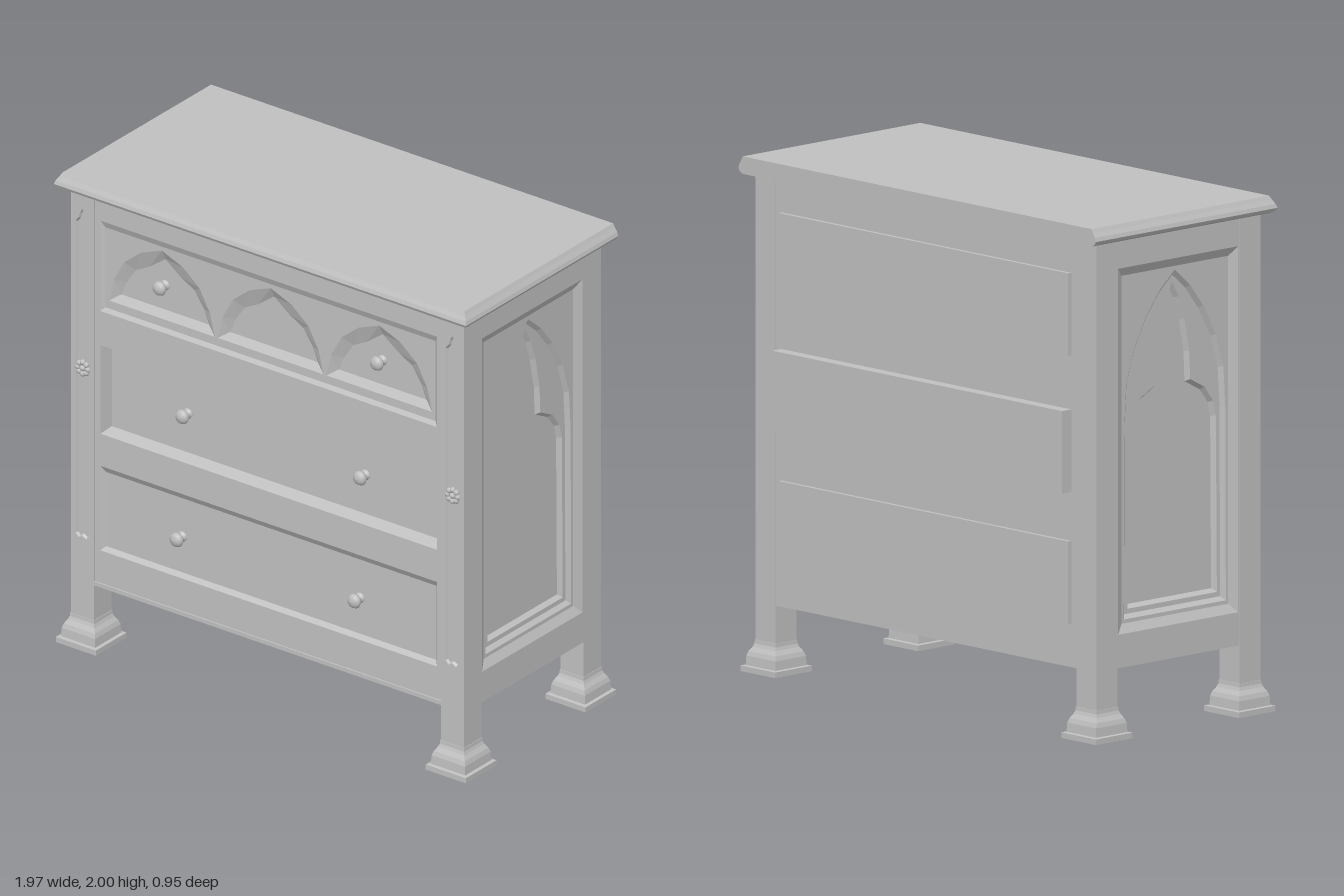
import * as THREE from 'three';
import { mergeGeometries } from 'three/addons/utils/BufferGeometryUtils.js';

const wood = new THREE.MeshStandardMaterial({ color: 0xc0c0c0 });
wood.name = 'paleGrey';

const mesh = (name, geometry) => {
  const m = new THREE.Mesh(geometry, wood);
  m.name = name;
  return m;
};

const box = (x0, x1, y0, y1, z0, z1) =>
  new THREE.BoxGeometry(x1 - x0, y1 - y0, z1 - z0).translate((x0 + x1) / 2, (y0 + y1) / 2, (z0 + z1) / 2);

// Outlines run anticlockwise as lists of [x, y].
const rect = (x0, x1, y0, y1) => [[x0, y0], [x1, y0], [x1, y1], [x0, y1]];

// Right half from base to apex, mirrored to the left.
const mirrored = (half, cx = 0) => [
  ...half.map(([x, y]) => [cx + x, y]),
  ...half.slice(0, -1).reverse().map(([x, y]) => [cx - x, y]),
];

// Moves every edge of an outline inwards by d.
function inset(pts, d) {
  const n = pts.length;
  const edgeNormal = (a, b) => new THREE.Vector2(a[1] - b[1], b[0] - a[0]).normalize();
  return pts.map((p, i) => {
    const n1 = edgeNormal(pts[(i + n - 1) % n], p);
    const n2 = edgeNormal(p, pts[(i + 1) % n]);
    const k = d / (1 + n1.dot(n2));
    return [p[0] + (n1.x + n2.x) * k, p[1] + (n1.y + n2.y) * k];
  });
}

function toShape(outer, holes = []) {
  const v = (o) => o.map(([x, y]) => new THREE.Vector2(x, y));
  const s = new THREE.Shape(v(outer));
  s.holes = holes.map((h) => new THREE.Path(v(h)));
  return s;
}

const face = (outer, holes, z) => new THREE.ShapeGeometry(toShape(outer, holes)).translate(0, 0, z);
const board = (outer, holes, z0, z1) =>
  new THREE.ExtrudeGeometry(toShape(outer, holes), { depth: z1 - z0, bevelEnabled: false }).translate(0, 0, z0);

// Flat-shaded strips joining successive rings of 3D points.
function loft(rings, caps = false) {
  const pos = [];
  const n = rings[0].length;
  for (let r = 0; r + 1 < rings.length; r++) {
    const [a, b] = [rings[r], rings[r + 1]];
    for (let i = 0; i < n; i++) {
      const j = (i + 1) % n;
      pos.push(...a[i], ...a[j], ...b[j], ...a[i], ...b[j], ...b[i]);
    }
  }
  if (caps) {
    const [a, b] = [rings[0], rings[rings.length - 1]];
    for (let i = 1; i + 1 < n; i++) pos.push(...a[0], ...a[i + 1], ...a[i], ...b[0], ...b[i], ...b[i + 1]);
  }
  const g = new THREE.BufferGeometry();
  g.setAttribute('position', new THREE.Float32BufferAttribute(pos, 3));
  g.computeVertexNormals();
  return g;
}

const slope = (a, za, b, zb) => loft([a.map((p) => [...p, za]), b.map((p) => [...p, zb])]);

// Rectangular sections stacked upwards: [y, x0, x1, z0, z1].
const stack = (levels) =>
  loft(levels.map(([y, x0, x1, z0, z1]) => [[x0, y, z1], [x1, y, z1], [x1, y, z0], [x0, y, z0]]), true);

function merge(parts) {
  return mergeGeometries(parts.map((g) => {
    const p = g.index ? g.toNonIndexed() : g;
    p.deleteAttribute('uv');
    return p;
  }));
}

function knob(x, y, z) {
  const profile = [[0.021, 0], [0.021, 0.006], [0.012, 0.012], [0.012, 0.02], [0.025, 0.027],
    [0.03, 0.037], [0.025, 0.048], [0.013, 0.054], [0, 0.056]];
  const m = mesh('knob', new THREE.LatheGeometry(profile.map(([r, h]) => new THREE.Vector2(r, h)), 20));
  m.rotation.x = Math.PI / 2;
  m.position.set(x, y, z);
  return m;
}

function rosette() {
  const petals = [new THREE.SphereGeometry(0.013, 10, 8)];
  for (let i = 0; i < 8; i++) {
    const a = (i * Math.PI) / 4;
    petals.push(new THREE.SphereGeometry(0.012, 8, 6).translate(Math.cos(a) * 0.024, Math.sin(a) * 0.024, 0));
  }
  return mesh('rosette', merge(petals));
}

// Panel with a moulded frame, a pointed arch and a cusped inner arch.
function sidePanel() {
  const opening = rect(-0.315, 0.315, 0.4, 1.82);
  const field = inset(opening, 0.035);
  const arch = mirrored([[0.268, 0.45], [0.265, 1.2], [0.255, 1.36], [0.215, 1.49], [0.15, 1.61], [0.08, 1.7], [0, 1.77]]);
  const archIn = inset(arch, 0.016);
  const cusped = mirrored([[0.235, 0.485], [0.23, 1.17], [0.215, 1.23], [0.17, 1.29], [0.095, 1.33],
    [0.09, 1.44], [0.065, 1.57], [0.035, 1.66], [0, 1.72]]);
  const cuspedIn = inset(cusped, 0.014);
  return merge([
    board(rect(-0.33, 0.33, 0.27, 1.935), [opening], 0.86, 0.939),
    slope(opening, 0.939, field, 0.92),
    face(field, [arch], 0.92),
    slope(arch, 0.92, archIn, 0.905),
    face(archIn, [cusped], 0.905),
    slope(cusped, 0.905, cuspedIn, 0.888),
    face(cuspedIn, [], 0.888),
  ]);
}

export function createModel() {
  const model = new THREE.Group();
  model.name = 'chestOfDrawers';
  const add = (name, geometry) => model.add(mesh(name, geometry));

  // Carcass and moulded top
  add('carcass', box(-0.86, 0.86, 0.27, 1.94, -0.429, 0.355));
  add('top', stack([[1.932, 0.962, 0.455], [1.94, 0.978, 0.47], [1.953, 0.986, 0.477], [1.968, 0.981, 0.472],
    [1.985, 0.97, 0.462], [2, 0.962, 0.455]].map(([y, w, f]) => [y, -w, w, -0.477, f])));

  // Front frame and drawers; each drawer sits at its own depth
  const frameZ = 0.422;
  const drawers = [
    { name: 'topDrawer', y0: 1.445, y1: 1.83, z: 0.41, back: [1.48, 1.8, -0.445], knobX: 0.52, knobY: 1.63 },
    { name: 'middleDrawer', y0: 0.922, y1: 1.3, z: 0.37, back: [0.95, 1.27, -0.477], knobX: 0.425, knobY: 1.105 },
    { name: 'bottomDrawer', y0: 0.425, y1: 0.785, z: 0.405, back: [0.44, 0.76, -0.445], knobX: 0.425, knobY: 0.595 },
  ];
  const openings = drawers.map((d) => rect(-0.805, 0.805, d.y0, d.y1));
  add('frontFrame', board(rect(-0.835, 0.835, 0.27, 1.935), openings, 0.35, frameZ));
  add('bottomLip', box(-0.83, 0.83, 0.27, 0.287, 0.4, 0.428));

  drawers.forEach((d, i) => {
    const front = rect(-0.79, 0.79, d.y0 + 0.016, d.y1 - 0.028);
    const parts = [slope(openings[i], frameZ, front, d.z)];
    let knobZ = d.z;
    if (i === 0) {
      // Three carved arches
      knobZ = d.z - 0.022;
      const arches = [-0.52, 0, 0.52].map((cx) => {
        const outer = mirrored([[0.253, 1.495], [0.23, 1.59], [0.18, 1.68], [0.1, 1.745], [0, 1.785]], cx);
        const inner = mirrored([[0.21, 1.525], [0.185, 1.585], [0.14, 1.65], [0.075, 1.685], [0, 1.74]], cx);
        parts.push(slope(outer, d.z, inner, knobZ), face(inner, [], knobZ));
        return outer;
      });
      parts.push(face(front, arches, d.z));
    } else parts.push(face(front, [], d.z));
    add(d.name, merge(parts));
    add(d.name + 'Back', box(-0.8, 0.8, d.back[0], d.back[1], d.back[2], -0.42));
    for (const s of [-1, 1]) model.add(knob(s * d.knobX, d.knobY, knobZ));
  });

  for (const s of [-1, 1]) {
    const side = mesh('sidePanel', sidePanel());
    side.rotation.y = (s * Math.PI) / 2;
    model.add(side);

    // Posts, with a sunk channel and rosette on the front pair
    const cx = s * 0.885;
    add('backPost', box(cx - 0.055, cx + 0.055, 0.1, 1.935, -0.43, -0.32));
    add('frontPost', box(cx - 0.055, cx + 0.055, 0.1, 1.935, 0.32, 0.418));
    const channel = mirrored([[0, 0.465], [0.018, 0.455], [0.033, 0.47], [0.033, 1.8], [0.017, 1.82],
      [0.012, 1.84], [0, 1.86]], cx).slice(0, -1);
    const channelIn = inset(channel, 0.006);
    add('postFace', merge([
      board(rect(cx - 0.055, cx + 0.055, 0.1, 1.935), [channel], 0.418, 0.43),
      slope(channel, 0.43, channelIn, 0.42),
      face(channelIn, [], 0.42),
    ]));
    const flower = rosette();
    flower.position.set(cx, 1.18, 0.427);
    model.add(flower);

    // Stepped feet
    for (const cz of [-0.375, 0.375]) {
      add('foot', stack([[0, 0.096], [0.022, 0.096], [0.024, 0.082], [0.06, 0.08], [0.078, 0.074], [0.095, 0.063],
        [0.108, 0.058], [0.122, 0.057]].map(([y, h]) => [y, cx - h, cx + h, cz - h, cz + h])));
    }
  }
  return model;
}
